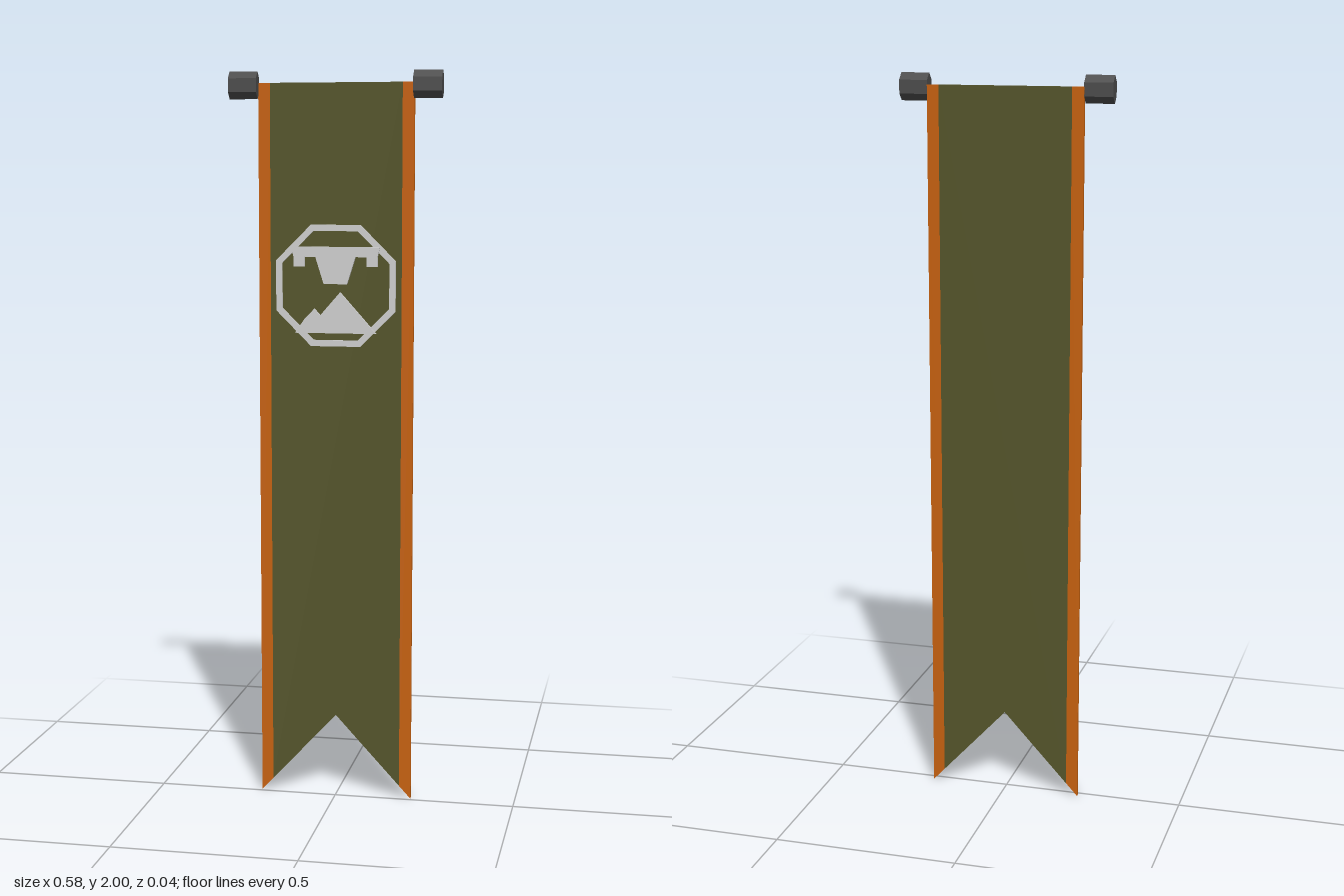
import * as THREE from 'three';

const material = (name, color) => {
  const m = new THREE.MeshStandardMaterial({ color });
  m.name = name;
  return m;
};

// Flat plate with an outline in x/y, spanning z0 to z1
function plate(name, points, z0, z1, mat, hole) {
  const shape = new THREE.Shape(points.map(([x, y]) => new THREE.Vector2(x, y)));
  if (hole) shape.holes.push(new THREE.Path(hole.map(([x, y]) => new THREE.Vector2(x, y))));
  const geometry = new THREE.ExtrudeGeometry(shape, { depth: z1 - z0, bevelEnabled: false });
  geometry.translate(0, 0, z0);
  const mesh = new THREE.Mesh(geometry, mat);
  mesh.name = name;
  return mesh;
}

// Regular octagon with a flat top; r is the distance to its sides
function octagon(r, cy) {
  return Array.from({ length: 8 }, (_, i) => {
    const a = (i + 0.5) * Math.PI / 4, d = r / Math.cos(Math.PI / 8);
    return [Math.cos(a) * d, cy + Math.sin(a) * d];
  });
}

export function createModel() {
  const olive = material('olive cloth', 0x55552b);
  const orange = material('orange trim', 0xc8620f);
  const grey = material('dark grey metal', 0x4c4c4c);
  const pale = material('pale grey emblem', 0xd0d0d0);

  const group = new THREE.Group();
  group.name = 'banner';

  // Cloth with a swallowtail notch
  const top = 1.97, half = 0.212, inner = 0.18, notch = 0.23;
  const back = -0.02, front = -0.009;
  const hem = x => notch * (1 - x / half);
  group.add(plate('cloth', [
    [-inner, hem(inner)], [0, notch], [inner, hem(inner)], [inner, top], [-inner, top],
  ], back, front, olive));

  for (const s of [-1, 1]) {
    const side = s > 0 ? 'left' : 'right';
    // Trim along each long edge
    const outline = [[s * inner, hem(inner)], [s * half, 0], [s * half, top], [s * inner, top]];
    group.add(plate(side + 'Trim', outline, back, front, orange));

    // Six-sided rod end, taller than deep
    const cap = plate(side + 'RodEnd', [
      [0, 0.0365], [-0.0195, 0.018], [-0.0195, -0.018],
      [0, -0.0365], [0.0195, -0.018], [0.0195, 0.018],
    ], -0.0385, 0.0385, grey);
    cap.rotation.y = Math.PI / 2;
    cap.position.set(s * 0.25, 1.9635, 0);
    group.add(cap);
  }

  // Emblem: octagonal ring, stepped crown and mountain
  const emblem = new THREE.Group();
  emblem.name = 'emblem';
  emblem.add(plate('emblemRing', octagon(0.164, 1.43), front, -0.004, pale, octagon(0.147, 1.43)));

  const crownHalf = [
    [0.032, 1.435], [0.055, 1.508], [0.085, 1.508], [0.085, 1.482],
    [0.115, 1.482], [0.115, 1.508], [0.122, 1.535],
  ];
  const mirrored = crownHalf.map(([x, y]) => [-x, y]).reverse();
  emblem.add(plate('emblemCrown', [...crownHalf, ...mirrored], front, 0, pale));

  emblem.add(plate('emblemMountain', [
    [-0.112, 1.302], [0.112, 1.302], [0.013, 1.413], [-0.042, 1.35],
    [-0.058, 1.368], [-0.085, 1.34],
  ], front, 0, pale));
  group.add(emblem);

  return group;
}
